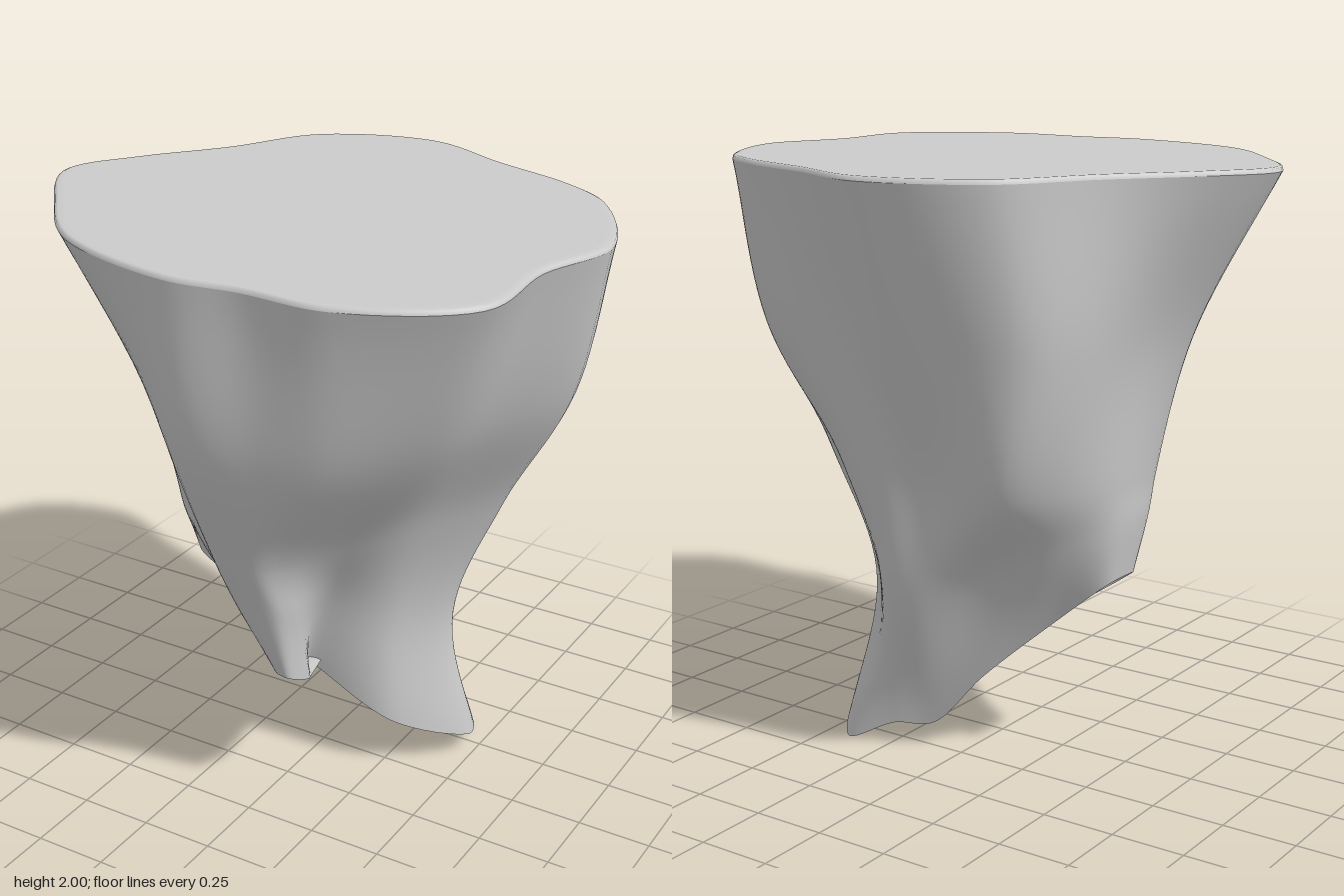
import * as THREE from 'three';

// Cross-sections as [x, z] pairs, running from +x towards +z.
const TOP = [[.94, -.08], [.86, .22], [.85, .58], [.5, .8], [.2, .8], [-.05, .82], [-.49, .68], [-.75, .41],
  [-.94, .1], [-.82, -.13], [-.62, -.39], [-.43, -.7], [-.05, -.83], [.28, -.7], [.58, -.59], [.75, -.47]];
const UPPER = [[.81, -.16], [.68, .15], [.62, .45], [.42, .68], [.2, .75], [-.05, .77], [-.3, .54], [-.47, .32],
  [-.66, .1], [-.62, -.12], [-.56, -.42], [-.43, -.59], [-.05, -.65], [.22, -.58], [.45, -.55], [.63, -.46]];
const WAIST = [[.57, -.2], [.43, .07], [.3, .33], [.18, .53], [.1, .6], [-.05, .59], [-.22, .41], [-.39, .26],
  [-.54, .1], [-.55, -.15], [-.46, -.39], [-.33, -.52], [-.03, -.49], [.15, -.51], [.3, -.46], [.43, -.34]];
const LOWER = [[.42, -.16], [.31, .03], [.15, .21], [.16, .45], [.12, .52], [0, .52], [-.18, .32], [-.4, .18],
  [-.53, .07], [-.53, -.15], [-.38, -.29], [-.15, -.35], [.06, -.43], [.17, -.43], [.27, -.33], [.36, -.22]];
// Ragged lower rim as [x, y, z].
const RIM = [[.49, .08, -.18], [.3, .2, .05], [.02, .4, .14], [.14, .47, .33], [.13, .53, .45], [.08, .53, .44],
  [-.08, .41, .14], [-.34, .55, .03], [-.5, .66, .03], [-.5, .66, -.12], [-.31, .5, -.15], [-.07, .28, -.22],
  [.12, .08, -.25], [.23, .08, -.32], [.41, 0, -.35], [.46, .06, -.28]];

const AROUND = 128, DOWN = 40;
const flat = (ring, y) => ring.map(([x, z]) => new THREE.Vector3(x, y, z));
const sample = (points) => {
  const curve = new THREE.CatmullRomCurve3(points, true);
  return Array.from({ length: AROUND }, (_, i) => curve.getPoint(i / AROUND));
};

// Skin stacked loops of equal length
function loft(loops) {
  const index = [], n = loops[0].length;
  for (let j = 0; j < loops.length - 1; j++) {
    for (let i = 0; i < n; i++) {
      const a = j * n + i, b = j * n + (i + 1) % n;
      index.push(a, b, a + n, b, b + n, a + n);
    }
  }
  const geometry = new THREE.BufferGeometry().setFromPoints(loops.flat());
  geometry.setIndex(index);
  geometry.computeVertexNormals();
  return geometry;
}

export function createModel() {
  const group = new THREE.Group();
  const material = new THREE.MeshStandardMaterial({ color: 0xcccccc, side: THREE.DoubleSide });
  const add = (name, geometry) => {
    const mesh = new THREE.Mesh(geometry, material);
    mesh.name = name;
    group.add(mesh);
  };

  // Rock sides: smooth columns through the five cross-sections
  const rim = RIM.map((p) => new THREE.Vector3(...p));
  const lower = LOWER.map(([x, z], i) => new THREE.Vector3(x, (1.05 + RIM[i][1]) / 2, z));
  const rings = [flat(TOP, 1.985), flat(UPPER, 1.45), flat(WAIST, 1), lower, rim].map(sample);
  const columns = rings[0].map((_, i) => new THREE.CatmullRomCurve3(rings.map((r) => r[i])));
  const sides = Array.from({ length: DOWN + 1 }, (_, j) => columns.map((c) => c.getPoint(j / DOWN)));
  add('rockSides', loft(sides));

  // Flat ground with a softly rounded edge
  const edge = (scale, y) => rings[0].map((p) => new THREE.Vector3(p.x * scale, y, p.z * scale));
  add('groundTop', loft([0, .5, .96, .985].map((s) => edge(s, 2)).concat([edge(.996, 1.996), edge(1, 1.985)])));

  // Hollowed underside closing the ragged rim
  const centre = new THREE.Vector3(0, .36, -.03);
  const bottom = sides[DOWN];
  add('underside', loft([0, .35, .7, 1].map((t) => bottom.map((p) => p.clone().lerp(centre, t)))));
  return group;
}
